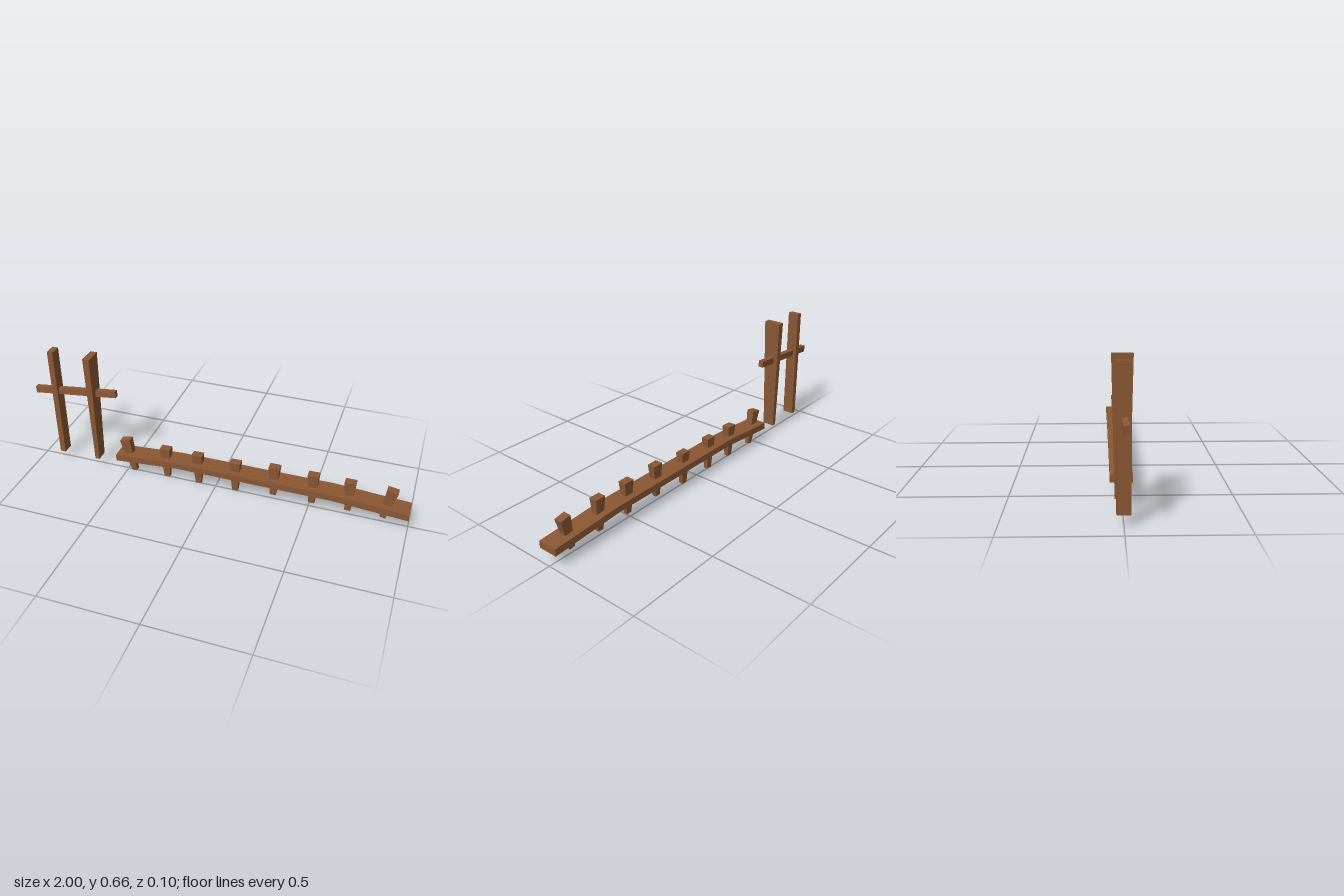
import * as THREE from 'three';

const wood = new THREE.MeshStandardMaterial({ color: 0x8b5733 });
wood.name = 'brown wood';

// Box whose lower end has its own width and depth; centred on its own origin.
function taperedBox(name, height, top, bottom) {
  const geo = new THREE.BoxGeometry(1, height, 1);
  const p = geo.attributes.position;
  for (let i = 0; i < p.count; i++) {
    const [w, d] = p.getY(i) > 0 ? top : bottom;
    p.setX(i, p.getX(i) * w);
    p.setZ(i, p.getZ(i) * d);
  }
  geo.computeVertexNormals();
  const mesh = new THREE.Mesh(geo, wood);
  mesh.name = name;
  return mesh;
}

export function createModel() {
  const model = new THREE.Group();
  model.name = 'woodenRail';

  // Long plank, gently bowed: [x, top height, bottom height]
  const bow = [
    [-0.545, 0.116, 0.079], [-0.2, 0.139, 0.106],
    [0.62, 0.139, 0.106], [1.0, 0.115, 0.079],
  ];
  const outline = new THREE.Shape([
    ...bow.map(([x, , b]) => new THREE.Vector2(x, b)),
    ...bow.slice().reverse().map(([x, t]) => new THREE.Vector2(x, t)),
  ]);
  const plankGeo = new THREE.ExtrudeGeometry(outline, { depth: 0.102, bevelEnabled: false });
  plankGeo.translate(0, 0, -0.051);
  const plank = new THREE.Mesh(plankGeo, wood);
  plank.name = 'plank';
  model.add(plank);

  // Tapered pegs through the plank: [top x, top y, bottom x, bottom y]
  const pegs = [
    [-0.502, 0.197, -0.459, 0.008],
    [-0.275, 0.19, -0.27, 0.012],
    [-0.098, 0.19, -0.092, 0.012],
    [0.108, 0.19, 0.11, 0.012],
    [0.315, 0.21, 0.313, 0.035],
    [0.515, 0.21, 0.515, 0.035],
    [0.699, 0.21, 0.699, 0.035],
    [0.905, 0.208, 0.873, 0.036],
  ];
  pegs.forEach(([tx, ty, bx, by], i) => {
    const dx = tx - bx, dy = ty - by;
    const peg = taperedBox(`peg${i + 1}`, Math.hypot(dx, dy), [0.057, 0.042], [0.03, 0.022]);
    peg.position.set((tx + bx) / 2, (ty + by) / 2, 0);
    peg.rotation.z = -Math.atan2(dx, dy);
    model.add(peg);
  });

  // Two upright posts: a straight outer one and a tapered inner one
  const outerPost = taperedBox('outerPost', 0.615, [0.031, 0.061], [0.03, 0.06]);
  outerPost.position.set(-0.88, 0.357, 0);
  const innerPost = taperedBox('innerPost', 0.617, [0.036, 0.092], [0.024, 0.064]);
  innerPost.position.set(-0.67, 0.357, 0);

  // Sloping crossbar through both posts
  const crossbar = taperedBox('crossbar', 0.035, [0.457, 0.027], [0.457, 0.027]);
  crossbar.position.set(-0.771, 0.439, -0.001);
  crossbar.rotation.set(-0.06, 0.028, 0.096);

  model.add(outerPost, innerPost, crossbar);
  return model;
}
